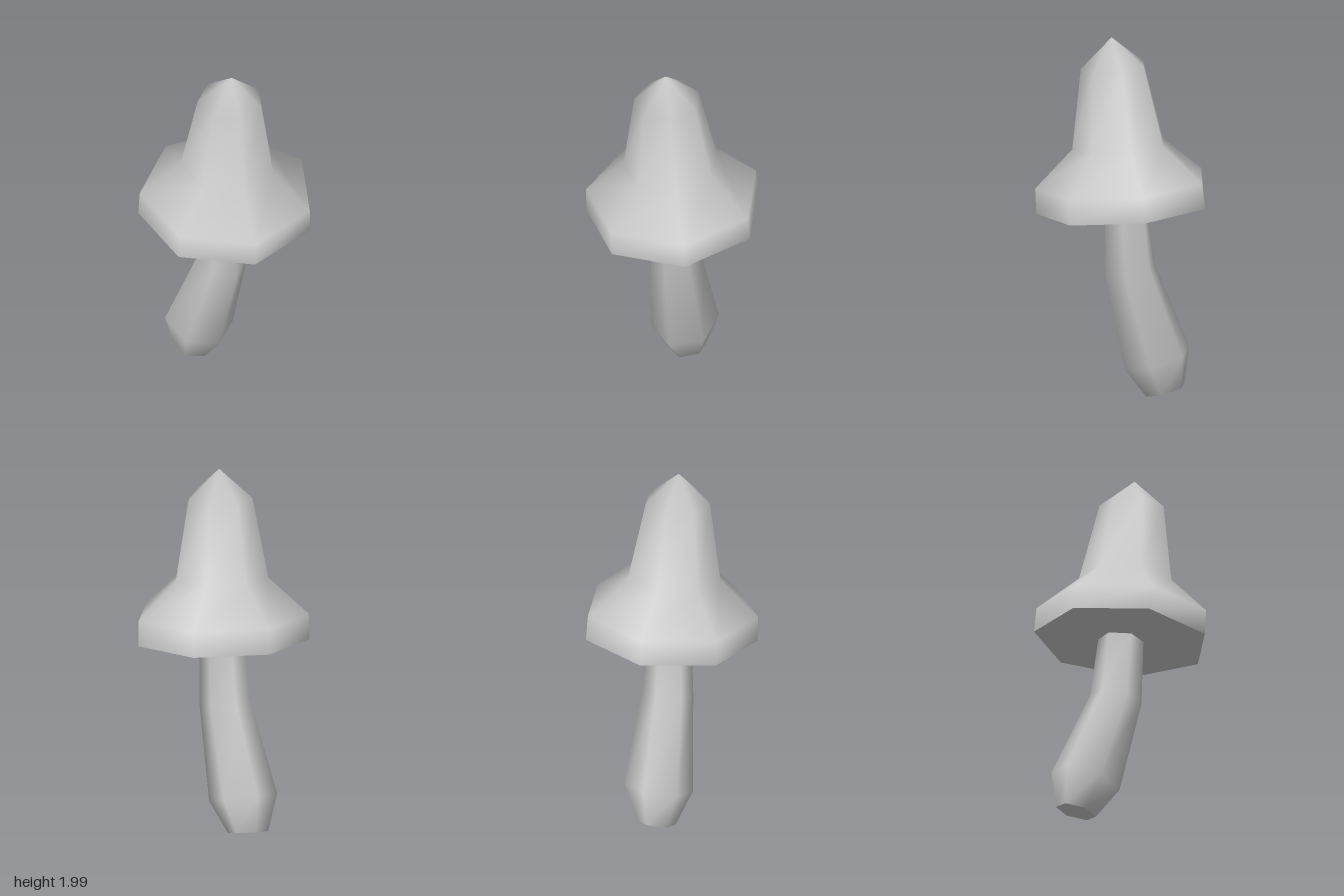
import * as THREE from 'three';

// Skin over tilted polygon rings, smooth shaded; a radius of 0 makes a pointed end.
// ring: centre x, y, z, radius, rise of y per unit x, rise of y per unit z
function skin(rings, sides, turn) {
  const pos = [], index = [];
  for (const [cx, cy, cz, r, sx = 0, sz = 0] of rings) {
    const count = r === 0 ? 1 : sides;
    for (let i = 0; i < count; i++) {
      const a = turn + (i / sides) * Math.PI * 2;
      const dx = r * Math.sin(a), dz = r * Math.cos(a);
      pos.push(cx + dx, cy + dx * sx + dz * sz, cz + dz);
    }
  }
  for (let k = 0; k < rings.length - 1; k++) {
    for (let i = 0; i < sides; i++) {
      const j = (i + 1) % sides, a = k * sides, b = a + sides;
      if (rings[k + 1][3] === 0) index.push(a + i, a + j, b);
      else index.push(a + i, a + j, b + j, a + i, b + j, b + i);
    }
  }
  const geo = new THREE.BufferGeometry();
  geo.setAttribute('position', new THREE.Float32BufferAttribute(pos, 3));
  geo.setIndex(index);
  geo.computeVertexNormals();
  return geo;
}

// Flat polygon closing the first ring, facing down
function underside(geo, sides) {
  const flat = new THREE.BufferGeometry();
  const src = geo.getAttribute('position').array;
  flat.setAttribute('position', new THREE.Float32BufferAttribute(src.slice(0, sides * 3), 3));
  const index = [];
  for (let i = 1; i < sides - 1; i++) index.push(0, i + 1, i);
  flat.setIndex(index);
  flat.computeVertexNormals();
  return flat;
}

export function createModel() {
  const model = new THREE.Group();
  model.name = 'mushroom';
  const grey = new THREE.MeshStandardMaterial({ color: 0xcccccc });
  grey.name = 'plain grey';

  function addPart(name, rings, sides, turn) {
    const part = new THREE.Group();
    part.name = name;
    const geo = skin(rings, sides, turn);
    const side = new THREE.Mesh(geo, grey);
    side.name = name + 'Skin';
    const base = new THREE.Mesh(underside(geo, sides), grey);
    base.name = name + 'Underside';
    part.add(side, base);
    model.add(part);
    return part;
  }

  // Seven-sided bell cap, tipped slightly forward
  const cap = addPart('cap', [
    [0, 0, 0, 0.476],
    [0, 0.139, 0, 0.472],
    [0, 0.338, 0, 0.257],
    [0, 0.775, 0, 0.178],
    [0, 0.935, 0, 0],
  ], 7, -0.056);
  cap.position.set(-0.007, 1.067, -0.019);
  cap.rotation.x = 0.076;

  // Six-sided stem, bending back towards a swollen foot
  addPart('stem', [
    [-0.11, 0.04, -0.245, 0.108, 0, -0.28],
    [-0.092, 0.222, -0.198, 0.183, -0.07, -0.29],
    [-0.02, 0.718, -0.05, 0.138, -0.03, -0.2],
    [-0.008, 1.075, -0.025, 0.121, 0, -0.076],
  ], 6, Math.PI / 12);

  return model;
}
